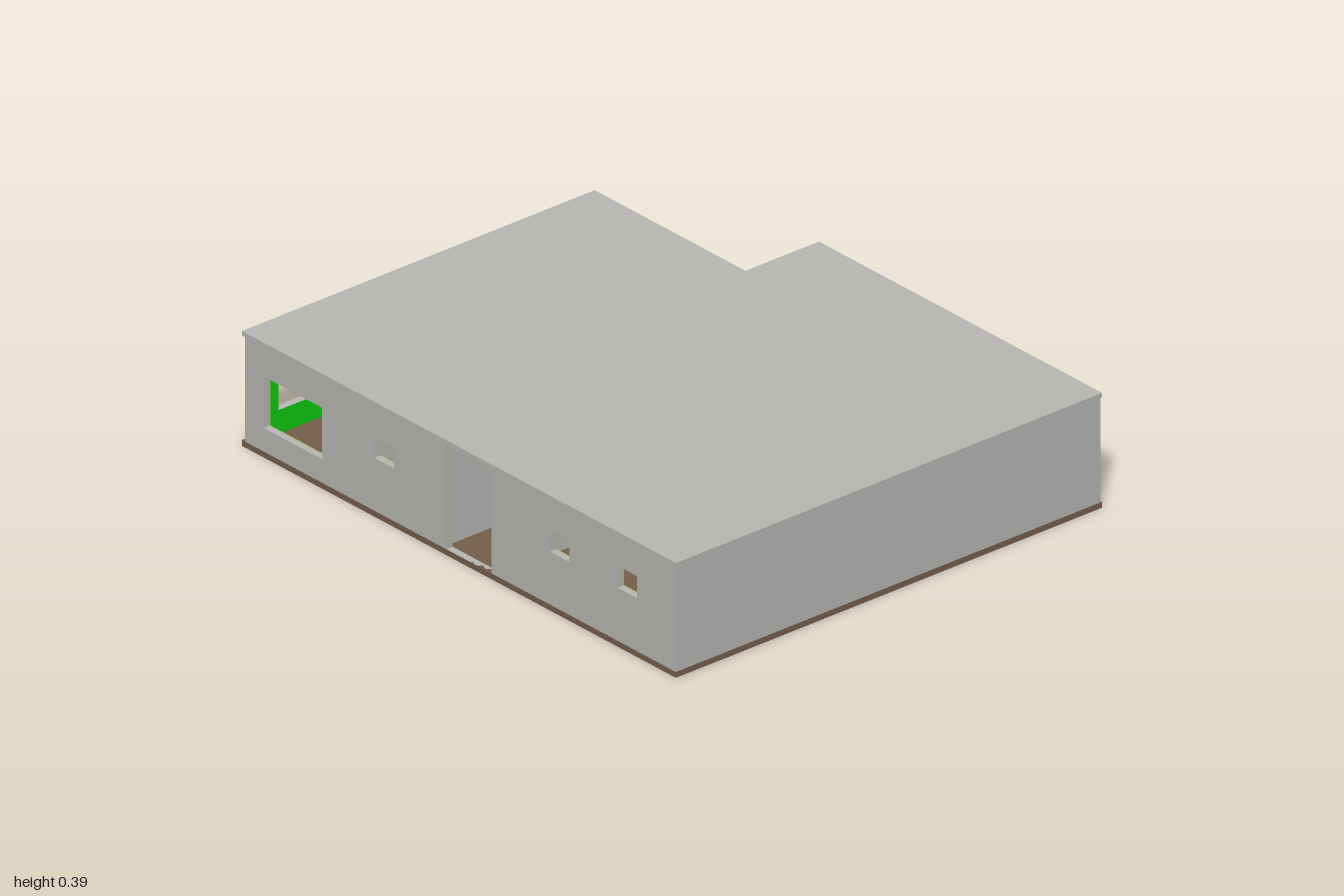
import * as THREE from 'three';

const mat = (name, color, side = THREE.FrontSide) => {
  const m = new THREE.MeshStandardMaterial({ color, side });
  m.name = name;
  return m;
};

export function createModel() {
  const group = new THREE.Group();
  const D = THREE.DoubleSide;
  const grey = mat('grey concrete', 0xb8b8b5);
  const brown = mat('brown floor', 0x765f4c, D);
  const green = mat('green paint', 0x0ccc0c, D);
  const yellow = mat('yellow paint', 0xb4cc0c, D);
  const pink = mat('pink paint', 0xcc66a8, D);
  const white = mat('white tile', 0xd4d4d2);

  const add = (name, geometry, material, parent = group) => {
    const mesh = new THREE.Mesh(geometry, material);
    mesh.name = name;
    parent.add(mesh);
    return mesh;
  };

  // L-shaped slab, used for the floor and the roof
  const slab = (name, y, height, material) => {
    const pts = [[-0.85, -1], [-0.85, 1], [0.555, 1], [0.555, 0.305], [0.847, 0.305], [0.847, -1]];
    const shape = new THREE.Shape(pts.map(([x, z]) => new THREE.Vector2(x, z)));
    const geo = new THREE.ExtrudeGeometry(shape, { depth: height, bevelEnabled: false });
    add(name, geo.rotateX(-Math.PI / 2).translate(0, y, 0), material);
  };
  slab('floorSlab', 0, 0.02, brown);
  slab('roofSlab', 0.375, 0.015, grey);

  // Wall from a to b in plan, thickened to one side; holes are [u0, u1, y0, y1] along its length
  const T = 0.025;
  const wall = (name, [ax, az], [bx, bz], holes = [], near = null, far = null) => {
    const dx = bx - ax, dz = bz - az, len = Math.hypot(dx, dz);
    const rect = (target, u0, u1, y0, y1) => {
      target.moveTo(u0, y0).lineTo(u1, y0).lineTo(u1, y1).lineTo(u0, y1).closePath();
      return target;
    };
    const shape = rect(new THREE.Shape(), 0, len, 0.019, 0.376);
    holes.forEach((h) => shape.holes.push(rect(new THREE.Path(), ...h)));
    const part = new THREE.Group();
    part.name = name;
    part.position.set(ax, 0, az);
    part.rotation.y = Math.atan2(-dz, dx);
    group.add(part);
    add(name + 'Core', new THREE.ExtrudeGeometry(shape, { depth: T, bevelEnabled: false }), grey, part);
    // Paint on the thickened side (near) and on the starting side (far)
    if (near) add(name + 'Paint', new THREE.ShapeGeometry(shape), near, part).position.z = T + 0.002;
    if (far) add(name + 'BackPaint', new THREE.ShapeGeometry(shape), far, part).position.z = -0.002;
  };

  // Outer walls, thickened inwards
  const Y0 = 0.1, Y1 = 0.275;
  wall('frontWall', [0.84, 1], [-0.85, 1], [], brown);
  const leftHoles = [
    [-0.9, -0.63, Y0, Y1], [-0.39, -0.3, 0.2, Y1], [-0.06, 0.15, 0.02, 0.375],
    [0.42, 0.51, 0.2, Y1], [0.73, 0.82, 0.2, Y1],
  ].map(([z0, z1, y0, y1]) => [1 - z1, 1 - z0, y0, y1]);
  wall('leftWall', [-0.85, 1], [-0.85, -0.985], leftHoles, yellow);
  wall('backWall', [-0.85, -0.985], [0.54, -0.985], [[0.11, 0.367, Y0, Y1]], green);
  wall('notchSideWall', [0.54, -0.985], [0.54, -0.26], [[0.17, 0.525, 0.02, Y1]]);
  wall('notchBackWall', [0.515, -0.285], [0.84, -0.285], [], green);
  wall('rightWall', [0.84, -0.285], [0.84, 1], [[0.1, 0.36, Y0, Y1], [0.825, 1.085, Y0, Y1]]);

  // Partitions between the rooms
  wall('middlePartition', [-0.1, -0.285], [0.515, -0.285], [], green, pink);
  wall('frontRoomPartition', [-0.2, 0.42], [0.815, 0.42], [], green, pink);
  wall('frontRoomSide', [-0.225, 0.975], [-0.225, 0.42], [], green);
  wall('middleRoomSide', [-0.125, 0.42], [-0.125, -0.08], [], yellow);
  wall('middleRoomSideBack', [-0.125, -0.08], [-0.125, -0.285]);
  wall('hallFrontPartition', [-0.825, 0.15], [-0.125, 0.15]);
  wall('hallBackPartition', [-0.825, -0.1], [-0.425, -0.1]);
  wall('washroomSide', [-0.45, -0.1], [-0.45, -0.52], [], null, green);
  wall('washroomBack', [-0.825, -0.545], [-0.66, -0.545], [], null, yellow);

  // Pale floor finishes: [name, x0, x1, z0, z1]
  [
    ['frontRoomFloor', -0.2, 0.815, 0.445, 0.975],
    ['middleRoomFloor', -0.1, 0.815, -0.26, 0.42],
    ['washroomFloor', -0.825, -0.45, -0.52, -0.1],
  ].forEach(([name, x0, x1, z0, z1]) => {
    const geo = new THREE.BoxGeometry(x1 - x0, 0.004, z1 - z0);
    add(name, geo.translate((x0 + x1) / 2, 0.022, (z0 + z1) / 2), white);
  });

  return group;
}
